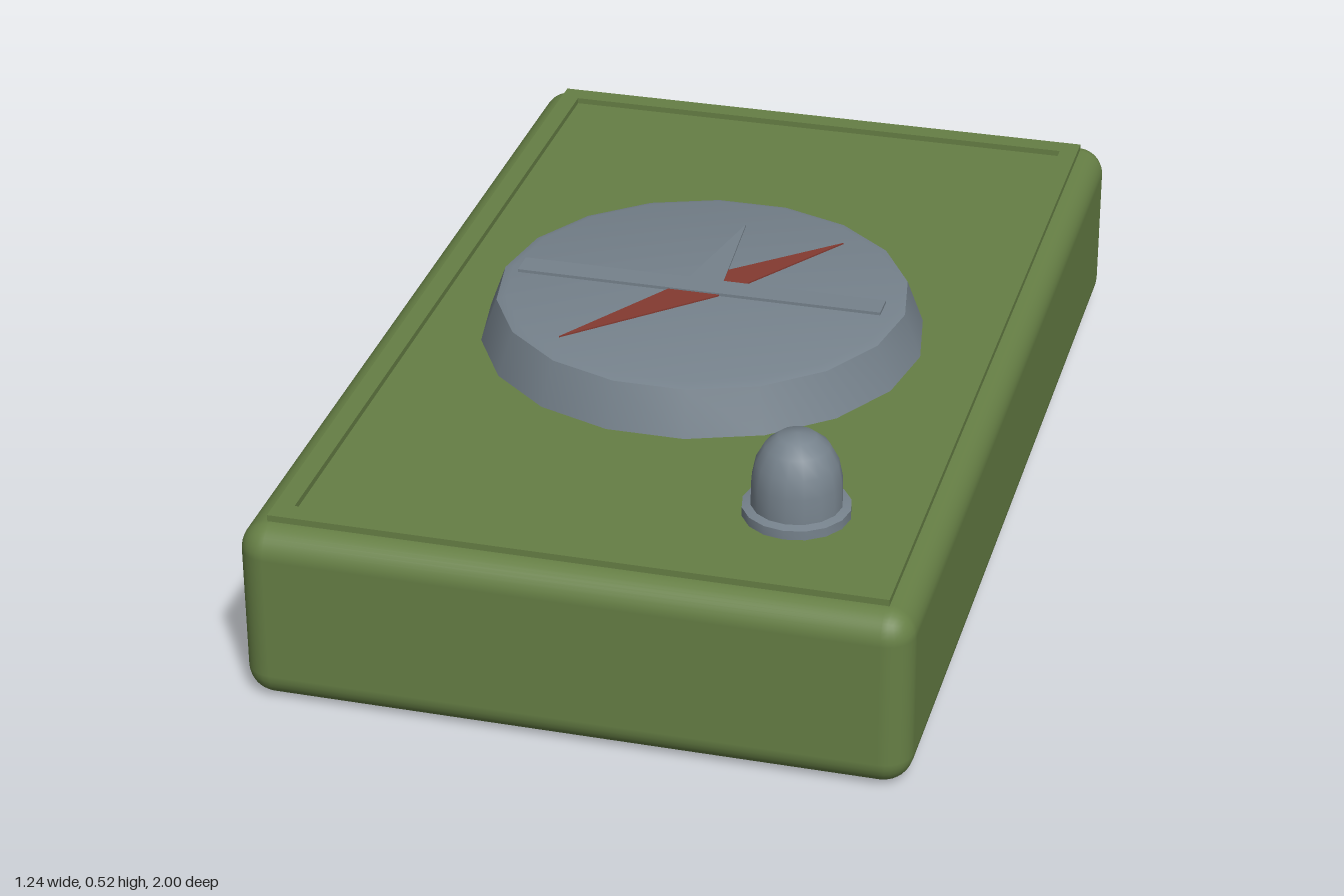
import * as THREE from 'three';
import { RoundedBoxGeometry } from 'three/addons/geometries/RoundedBoxGeometry.js';
import { toCreasedNormals } from 'three/addons/utils/BufferGeometryUtils.js';

const material = (name, color) => {
  const m = new THREE.MeshStandardMaterial({ color });
  m.name = name;
  return m;
};

export function createModel() {
  const green = material('olive green', 0x667f45);
  const grey = material('slate grey', 0x76828c);
  const red = material('needle red', 0x843a31);
  const model = new THREE.Group();

  const add = (name, geometry, mat, x = 0, y = 0, z = 0) => {
    const mesh = new THREE.Mesh(geometry, mat);
    mesh.name = name;
    mesh.position.set(x, y, z);
    model.add(mesh);
    return mesh;
  };
  const rectangle = (Type, w, d) => new Type(
    [[-w, -d], [w, -d], [w, d], [-w, d]].map(([x, y]) => new THREE.Vector2(x, y)));
  // Flat outline in (x, z), extruded upward
  const slab = (shape, height) => new THREE.ExtrudeGeometry(shape, { depth: height, bevelEnabled: false })
    .rotateX(-Math.PI / 2);
  const plate = (points, height) => slab(
    new THREE.Shape(points.map(([x, z]) => new THREE.Vector2(x, -z))), height);

  // Case with rounded edges and a thin raised border
  add('case', new RoundedBoxGeometry(1.24, 0.354, 2, 4, 0.055), green, 0, 0.177, 0);
  const border = rectangle(THREE.Shape, 0.57, 0.95);
  border.holes.push(rectangle(THREE.Path, 0.533, 0.907));
  add('border', slab(border, 0.016), green, 0, 0.35, 0);

  // Dial, a tapered disc
  const dialProfile = [[0, 0], [0.434, 0], [0.401, 0.078], [0.383, 0.084], [0, 0.084]]
    .map(([r, y]) => new THREE.Vector2(r, y + (y === 0 ? -0.012 : 0)));
  const dial = toCreasedNormals(new THREE.LatheGeometry(dialProfile, 18), 0.7);
  add('dial', dial.rotateY(Math.PI / 2), grey, 0, 0.363, 0.048);

  // Needle, pointer and crossbar lying on the dial
  add('needle', plate([[0.222, -0.205], [0.036, 0.078], [-0.212, 0.315], [-0.03, 0.02]], 0.005), red, 0, 0.445, 0);
  add('pointer', plate([[-0.04, 0.04], [0.035, 0.04], [0.015, -0.235]], 0.006), grey, 0, 0.445, 0);
  add('crossbar', new THREE.BoxGeometry(0.725, 0.008, 0.053), grey, -0.005, 0.449, 0.047);

  // Domed button on a flange
  const buttonProfile = [[0, 0], [0.1, 0], [0.1, 0.022], [0.084, 0.026], [0.083, 0.075], [0.076, 0.11],
    [0.059, 0.142], [0.035, 0.162], [0, 0.168]].map(([r, y]) => new THREE.Vector2(r, y));
  add('button', toCreasedNormals(new THREE.LatheGeometry(buttonProfile, 16), 0.8), grey, 0.34, 0.35, 0.68);

  return model;
}
